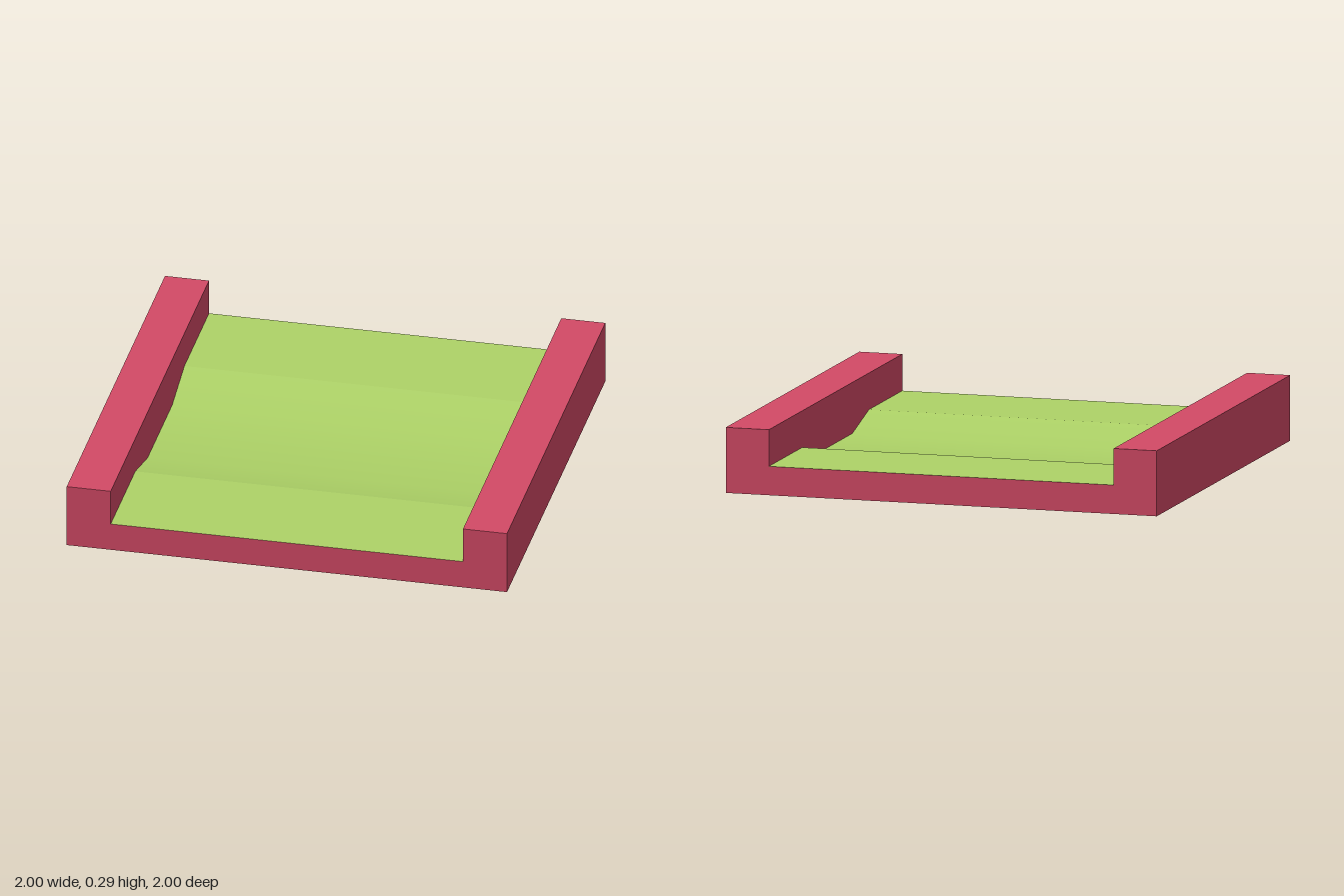
import * as THREE from 'three';

const HALF = 0.8;     // half width of the lane between the walls
const FLOOR = 0.13;   // height of the level turf
const WALL = 0.295;   // height of the side walls
const DIP = 0.065;    // depth of the hollow

// Sweeps a (z, y) path across the lane width; visible from the left of the path direction.
function strip(path, normalAt) {
  const pos = [], nor = [];
  for (let i = 0; i < path.length - 1; i++) {
    const a = path[i], b = path[i + 1];
    const dz = b[0] - a[0], dy = b[1] - a[1];
    const flat = new THREE.Vector3(0, -dz, dy).normalize();
    const corners = [[-1, a], [1, a], [1, b], [-1, a], [1, b], [-1, b]];
    for (const [side, p] of corners) {
      pos.push(side * HALF, p[1], p[0]);
      const n = normalAt ? normalAt(p[0]) : flat;
      nor.push(n.x, n.y, n.z);
    }
  }
  const g = new THREE.BufferGeometry();
  g.setAttribute('position', new THREE.Float32BufferAttribute(pos, 3));
  g.setAttribute('normal', new THREE.Float32BufferAttribute(nor, 3));
  return g;
}

export function createModel() {
  const model = new THREE.Group();
  model.name = 'dippedLane';
  const red = new THREE.MeshStandardMaterial({ color: 0xd34a66 });
  red.name = 'red frame';
  const green = new THREE.MeshStandardMaterial({ color: 0xaed367 });
  green.name = 'green turf';

  const add = (name, geometry, material) => {
    const mesh = new THREE.Mesh(geometry, material);
    mesh.name = name;
    model.add(mesh);
    return mesh;
  };

  // Side walls
  for (const [name, side] of [['leftWall', 1], ['rightWall', -1]]) {
    const wall = add(name, new THREE.BoxGeometry(1 - HALF, WALL, 2), red);
    wall.position.set(side * (1 + HALF) / 2, WALL / 2, 0);
  }

  // Underside with the front and back rims
  add('base', strip([[-1, FLOOR], [-1, 0], [1, 0], [1, FLOOR]]), red);

  // Level turf at both ends
  add('frontTurf', strip([[1, FLOOR], [0.5, FLOOR]]), green);
  add('backTurf', strip([[-0.5, FLOOR], [-1, FLOOR]]), green);

  // Hollow across the middle, smoothly shaded
  const low = FLOOR - DIP;
  const dip = [[0.5, FLOOR], [0.25, low], [-0.25, low], [-0.5, FLOOR]];
  add('dipTurf', strip(dip, z => new THREE.Vector3(0, 1, -z * 0.5).normalize()), green);

  return model;
}
